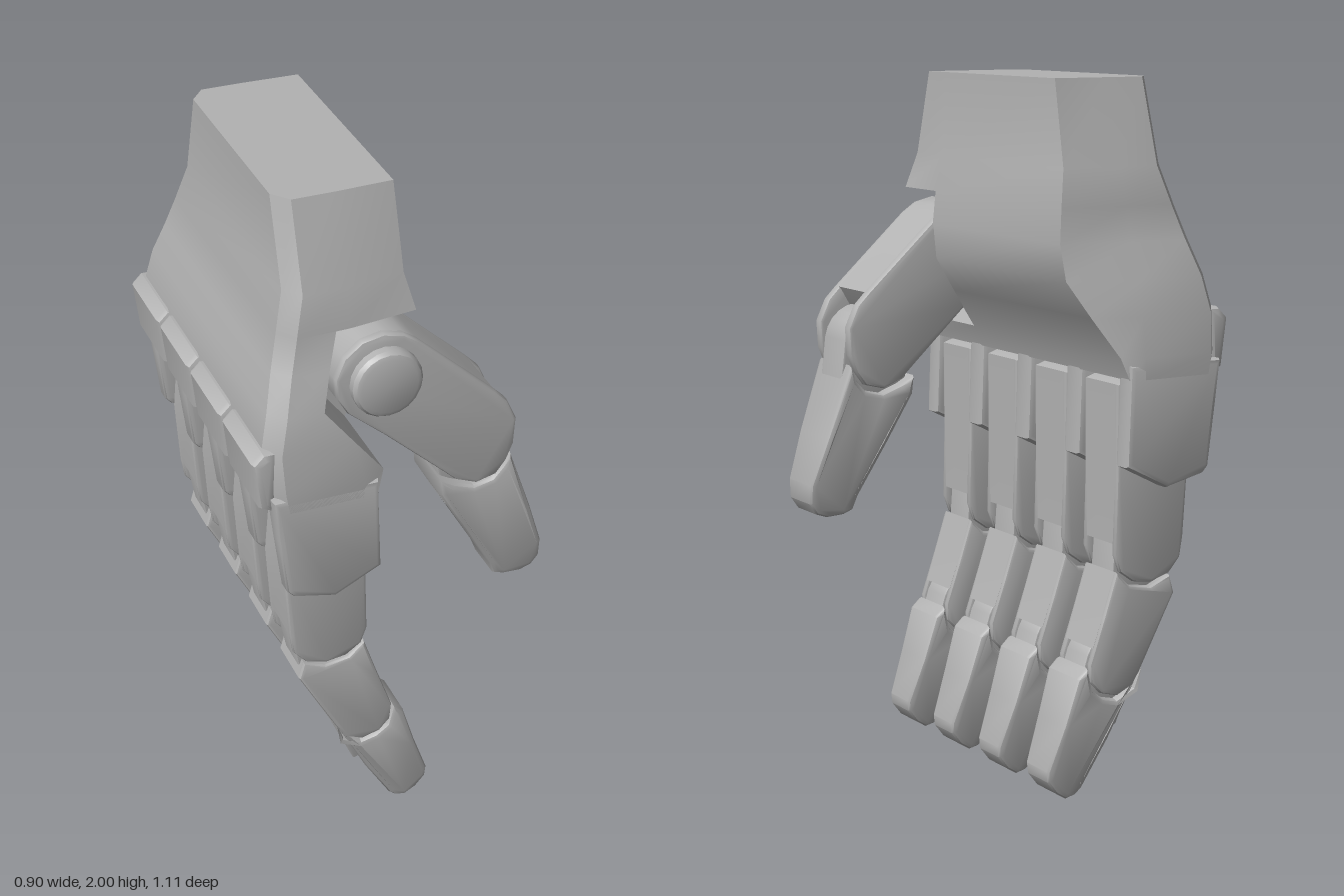
import * as THREE from 'three';
import { toCreasedNormals } from 'three/addons/utils/BufferGeometryUtils.js';

const gray = new THREE.MeshStandardMaterial({ color: 0xb2b2b2 });
gray.name = 'gray';

// Flat part: x-y outline extruded from z0 to z1; taper(y) scales the width about its middle
function plate(name, outline, z0, z1, bevel = 0.012, taper = null) {
  const shape = new THREE.Shape(outline.map(([x, y]) => new THREE.Vector2(x, y)));
  const geo = new THREE.ExtrudeGeometry(shape, {
    depth: z1 - z0 - 2 * bevel, bevelEnabled: bevel > 0, bevelThickness: bevel,
    bevelSize: bevel, bevelOffset: -bevel, bevelSegments: 2,
  });
  const mid = (z0 + z1) / 2;
  geo.translate(0, 0, z0 + bevel - mid);
  if (taper) {
    const p = geo.attributes.position;
    for (let i = 0; i < p.count; i++) p.setZ(i, p.getZ(i) * taper(p.getY(i)));
  }
  geo.translate(0, 0, mid);
  const mesh = new THREE.Mesh(toCreasedNormals(geo, 0.65), gray);
  mesh.name = name;
  return mesh;
}

// Round joint knuckle that runs down into the next segment
function tongue(name, cx, cy, r, ex, ey, half) {
  const a = Math.atan2(ey - cy, ex - cx), pts = [];
  for (let i = 0; i <= 12; i++) {
    const t = a + Math.PI / 2 + (i / 12) * Math.PI;
    pts.push([cx + r * Math.cos(t), cy + r * Math.sin(t)]);
  }
  const sx = Math.sin(a) * r * 0.9, sy = Math.cos(a) * r * 0.9;
  pts.push([ex + sx, ey - sy], [ex - sx, ey + sy]);
  return plate(name, pts, -half, half, 0.008);
}

// Segment with a solid core and two cheeks that hold the next joint
function fork(name, outline, core, half, inner, taper) {
  const g = new THREE.Group();
  g.name = name;
  g.add(
    plate(name + 'Core', core, -inner - 0.012, inner + 0.012, 0, taper),
    plate(name + 'CheekLeft', outline, inner, half, 0.01),
    plate(name + 'CheekRight', outline, -half, -inner, 0.01),
  );
  return g;
}

const linear = (y0, s0, y1, s1) => (y) => s0 + (s1 - s0) * THREE.MathUtils.clamp((y - y0) / (y1 - y0), 0, 1);

function makeFinger(z) {
  const g = new THREE.Group();
  g.name = 'finger';
  g.add(fork('proximal',
    [[-0.33, 1.15], [-0.29, 1.19], [-0.17, 1.19], [-0.11, 1.17], [-0.112, 0.9], [-0.107, 0.69],
      [-0.125, 0.64], [-0.17, 0.608], [-0.23, 0.6], [-0.29, 0.618], [-0.327, 0.66], [-0.337, 0.72], [-0.35, 0.92]],
    [[-0.33, 1.15], [-0.29, 1.19], [-0.17, 1.19], [-0.11, 1.17], [-0.112, 0.9], [-0.11, 0.72], [-0.335, 0.72], [-0.35, 0.92]],
    0.085, 0.06));
  g.add(tongue('middleJoint', -0.222, 0.7, 0.1, -0.2, 0.53, 0.056));
  g.add(fork('middle',
    [[-0.115, 0.64], [-0.16, 0.597], [-0.23, 0.585], [-0.295, 0.612], [-0.31, 0.56], [-0.2, 0.355], [-0.17, 0.308],
      [-0.12, 0.285], [-0.065, 0.3], [-0.033, 0.335], [-0.028, 0.385], [-0.075, 0.52]],
    [[-0.115, 0.64], [-0.16, 0.597], [-0.23, 0.585], [-0.295, 0.612], [-0.31, 0.56], [-0.215, 0.38], [-0.043, 0.43], [-0.075, 0.52]],
    0.083, 0.058));
  g.add(tongue('tipJoint', -0.118, 0.375, 0.088, -0.06, 0.22, 0.054));
  g.add(plate('fingertip',
    [[-0.022, 0.378], [-0.04, 0.31], [-0.075, 0.283], [-0.12, 0.272], [-0.175, 0.3], [-0.19, 0.34], [-0.1, 0.16],
      [-0.02, 0.025], [0.0, 0.007], [0.03, 0], [0.065, 0.022], [0.094, 0.06], [0.096, 0.09], [0.05, 0.22], [0.01, 0.35]],
    -0.083, 0.083, 0.015, linear(0, 0.66, 0.3, 1)));
  g.position.z = z;
  return g;
}

function makeThumb() {
  const g = new THREE.Group();
  g.name = 'thumb';
  const base = [[0.11, 1.157], [-0.05, 1.305], [-0.16, 1.4], [-0.19, 1.45], [-0.195, 1.51], [-0.17, 1.57],
    [-0.12, 1.61], [-0.06, 1.622], [0.0, 1.607], [0.04, 1.58], [0.27, 1.37]];
  const end = [[0.305, 1.335], [0.335, 1.27], [0.33, 1.19], [0.31, 1.14], [0.28, 1.1], [0.22, 1.085], [0.16, 1.11]];
  g.add(fork('thumbBase', [...base, ...end], [...base, [0.2, 1.25]], 0.11, 0.072));
  g.add(tongue('thumbJoint', 0.217, 1.21, 0.112, 0.25, 1.02, 0.066));
  g.add(plate('thumbTip',
    [[0.325, 1.16], [0.305, 1.115], [0.275, 1.08], [0.22, 1.068], [0.16, 1.09], [0.115, 1.115], [0.12, 1.06], [0.2, 0.92],
      [0.29, 0.765], [0.305, 0.725], [0.335, 0.713], [0.39, 0.71], [0.425, 0.722], [0.447, 0.755], [0.447, 0.81], [0.4, 0.95]],
    -0.104, 0.104, 0.015, linear(0.71, 0.64, 1.02, 1)));
  g.position.z = 0.357;

  // Pivot pin with a rounded rim
  const pinProfile = [[0, 0.045], [0.08, 0.045], [0.092, 0.04], [0.1, 0.028], [0.1, -0.02]];
  const pinGeo = new THREE.LatheGeometry(pinProfile.map(([r, h]) => new THREE.Vector2(r, h)).reverse(), 20);
  const pin = new THREE.Mesh(toCreasedNormals(pinGeo, 0.5), gray);
  pin.name = 'thumbPin';
  pin.rotation.x = Math.PI / 2;
  pin.position.set(-0.058, 1.487, 0.105);
  g.add(pin);
  return g;
}

// Palm body lofted from top to bottom; rows with xn carry the pocket for the thumb
function makePalmBody() {
  const rows = [ // y, back x, palm x, side z, palm corner z, pocket x
    [2.0, -0.31, 0.012, 0.348, 0.343],
    [1.76, -0.31, 0.02, 0.425, 0.4],
    [1.656, -0.338, 0.045, 0.455, 0.43],
    [1.655, -0.338, 0.045, 0.455, 0.43, -0.19],
    [1.56, -0.365, 0.055, 0.485, 0.44, -0.22],
    [1.46, -0.393, 0.045, 0.525, 0.455, -0.25],
    [1.36, -0.415, -0.015, 0.542, 0.49, -0.17],
    [1.25, -0.41, -0.085, 0.555, 0.53],
    [1.19, -0.4, -0.105, 0.555, 0.545],
  ];
  const pos = [];
  const rings = rows.map(([y, xb, xp, z, zp, xn]) => {
    const cut = xn !== undefined, nx = cut ? xn : xp;
    return [
      [xp, -zp], [-0.15, -z], [xb + 0.04, -z], [xb, -z + 0.05], [xb, z - 0.05], [xb + 0.04, z],
      [Math.min(-0.15, nx), z], [nx, cut ? z : zp], [nx, 0.25], [xp, 0.25],
    ].map(([x, zz]) => [x, y, zz]);
  });
  const tri = (a, b, c) => pos.push(...a, ...b, ...c);
  const n = rings[0].length;
  for (let r = 0; r + 1 < rings.length; r++) {
    const up = rings[r], lo = rings[r + 1];
    for (let i = 0; i < n; i++) {
      const j = (i + 1) % n;
      tri(lo[i], lo[j], up[j]);
      tri(lo[i], up[j], up[i]);
    }
  }
  const top = rings[0], bottom = rings[rings.length - 1];
  for (let i = 1; i + 1 < n; i++) {
    tri(top[0], top[i], top[i + 1]);
    tri(bottom[0], bottom[i + 1], bottom[i]);
  }
  const geo = new THREE.BufferGeometry();
  geo.setAttribute('position', new THREE.Float32BufferAttribute(pos, 3));
  const mesh = new THREE.Mesh(toCreasedNormals(geo, 0.6), gray);
  mesh.name = 'palmBody';
  return mesh;
}

export function createModel() {
  const hand = new THREE.Group();
  hand.name = 'mechanicalHand';
  hand.add(makePalmBody());

  // Walls between and outside the finger slots
  const wall = [[-0.405, 1.23], [-0.39, 1.1], [-0.368, 0.93], [-0.35, 0.91], [-0.23, 0.882], [-0.095, 0.95], [-0.105, 1.23]];
  for (const [a, b] of [[0.488, 0.555], [0.225, 0.309], [-0.042, 0.042], [-0.309, -0.225], [-0.555, -0.488]])
    hand.add(plate('slotWall', wall, a, b, 0.015));

  // Raised knuckle guards and fingers
  const guard = [[-0.38, 1.37], [-0.42, 1.37], [-0.45, 1.34], [-0.432, 1.2], [-0.39, 1.18]];
  for (const z of [0.398, 0.133, -0.133, -0.396]) {
    hand.add(plate('knuckleGuard', guard, z - 0.13, z + 0.13, 0.02));
    hand.add(makeFinger(z));
  }
  hand.add(makeThumb());
  return hand;
}
